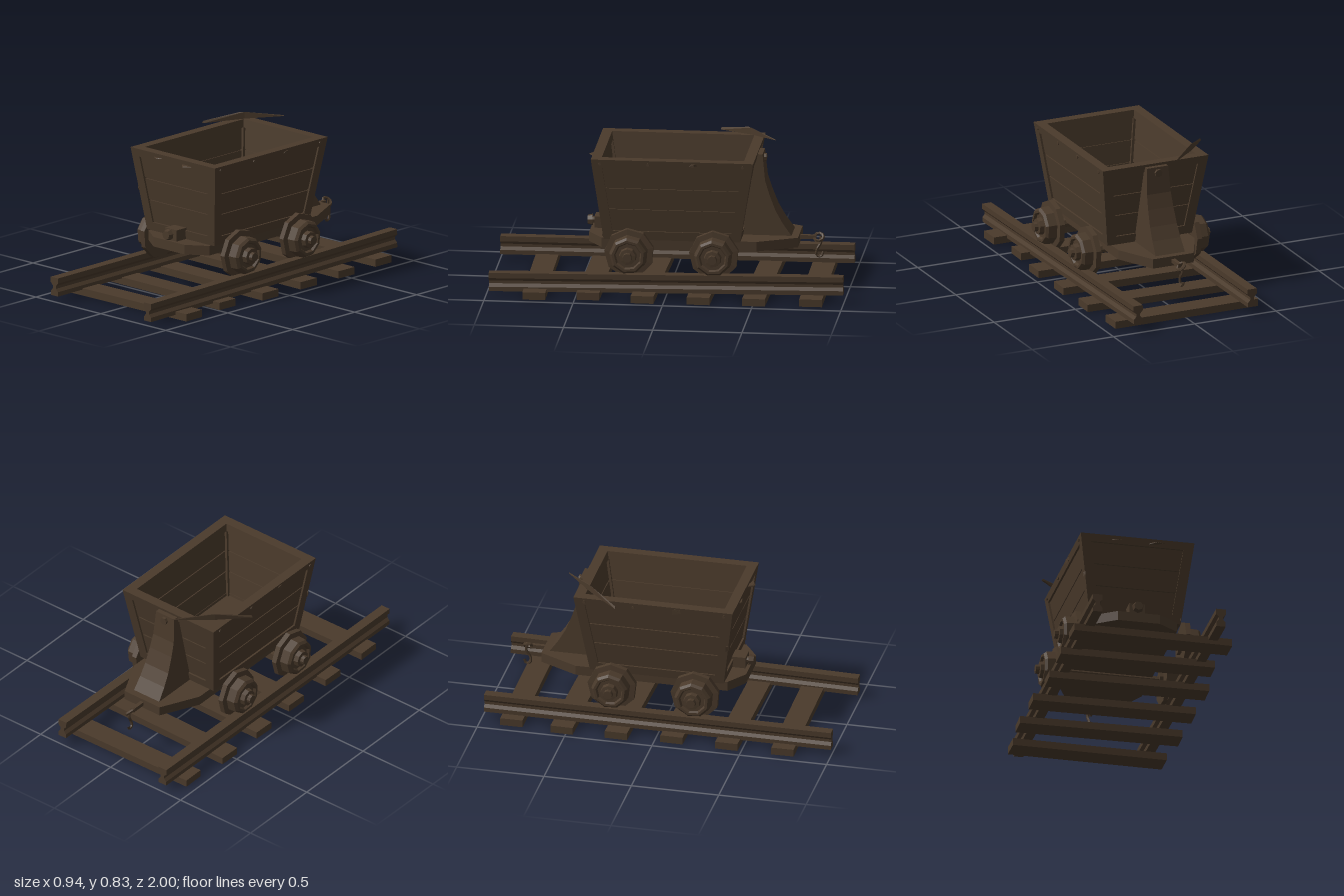
import * as THREE from 'three';
import { ConvexGeometry } from 'three/addons/geometries/ConvexGeometry.js';

const brown = new THREE.MeshStandardMaterial({ color: 0x4a3a2b });
brown.name = 'weathered brown';

const V = (x, y, z) => new THREE.Vector3(x, y, z);
const lerp = THREE.MathUtils.lerp;

function part(parent, name, geometry) {
  const geo = geometry.index ? geometry.toNonIndexed() : geometry;
  geo.computeVertexNormals(); // faceted look
  const mesh = new THREE.Mesh(geo, brown);
  mesh.name = name;
  parent.add(mesh);
  return mesh;
}
const box = (w, h, d, x, y, z) => new THREE.BoxGeometry(w, h, d).translate(x, y, z);

// Outer faces of the tapered tub at height y
const TOP = 0.785, BOTTOM = 0.31;
const tub = (y) => {
  const t = (y - BOTTOM) / (TOP - BOTTOM);
  return { x: lerp(0.26, 0.325, t), front: lerp(0.355, 0.42, t), back: lerp(-0.41, -0.49, t) };
};

// Sloped board on one tub side, between heights y0..y1 and depths d0..d1
function board(side, y0, y1, d0, d1, inset) {
  const pts = [];
  for (const y of [y0, y1]) for (const d of [d0, d1]) for (const e of [0, 1]) {
    const w = tub(y);
    if (side === 'front' || side === 'back') {
      const z = side === 'front' ? w.front - d : w.back + d;
      pts.push(V(lerp(-w.x + inset, w.x - inset, e), y, z));
    } else {
      pts.push(V((side === 'left' ? 1 : -1) * (w.x - d), y, lerp(w.back + inset, w.front - inset, e)));
    }
  }
  return new ConvexGeometry(pts);
}

function buildTub() {
  const g = new THREE.Group();
  g.name = 'tub';
  for (const side of ['front', 'back', 'left', 'right']) {
    part(g, side + 'Rim', board(side, 0.74, TOP, 0, 0.057, 0.05));
    part(g, side + 'Sill', board(side, BOTTOM, 0.36, 0, 0.045, 0.04));
    part(g, side + 'Backing', board(side, 0.35, 0.75, 0.02, 0.036, 0.03));
    for (const [a, b] of [[0.358, 0.487], [0.494, 0.612], [0.619, 0.742]])
      part(g, side + 'Plank', board(side, a, b, 0.011, 0.042, 0.04));
  }
  // Corner posts
  for (const sx of [-1, 1]) for (const end of ['front', 'back']) {
    const pts = [];
    for (const y of [BOTTOM, TOP]) for (const dx of [0, 0.056]) for (const dz of [0, 0.056]) {
      const w = tub(y);
      pts.push(V(sx * (w.x - dx), y, end === 'front' ? w.front - dz : w.back + dz));
    }
    part(g, 'cornerPost', new ConvexGeometry(pts));
  }
  part(g, 'tubFloor', box(0.48, 0.03, 0.72, 0, 0.33, -0.03));
  // Side rivets
  for (const sx of [-1, 1]) for (const z of [-0.43, -0.15, 0.1, 0.37])
    part(g, 'rivet', new THREE.CylinderGeometry(0.009, 0.009, 0.012, 6).rotateZ(Math.PI / 2)
      .translate(sx * tub(0.762).x, 0.762, z));
  return g;
}

function buildChassis() {
  const g = new THREE.Group();
  g.name = 'chassis';
  // Bed with chamfered ends, drawn as (x, -z)
  const bed = new THREE.Shape([[-0.12, -0.45], [0.12, -0.45], [0.235, -0.37], [0.235, 0.5],
    [0.125, 0.72], [-0.125, 0.72], [-0.235, 0.5], [-0.235, -0.37]].map(p => new THREE.Vector2(...p)));
  part(g, 'bed', new THREE.ExtrudeGeometry(bed, { depth: 0.055, bevelEnabled: false })
    .rotateX(-Math.PI / 2).translate(0, 0.255, 0));

  // Curved rear support, drawn as (-z, y) and narrowed toward the top
  const side = new THREE.Shape([[0.4, 0.31], [0.68, 0.31], [0.63, 0.38], [0.59, 0.45], [0.555, 0.54],
    [0.53, 0.62], [0.515, 0.77], [0.48, 0.77]].map(p => new THREE.Vector2(...p)));
  const support = new THREE.ExtrudeGeometry(side, { depth: 0.18, bevelEnabled: false })
    .translate(0, 0, -0.09).rotateY(Math.PI / 2);
  const pos = support.attributes.position;
  for (let i = 0; i < pos.count; i++)
    pos.setX(i, pos.getX(i) * lerp(1, 0.72, (pos.getY(i) - 0.31) / 0.46));
  part(g, 'rearSupport', support);
  part(g, 'supportBolt', new THREE.CylinderGeometry(0.022, 0.022, 0.025, 7)
    .rotateX(Math.PI / 2).translate(0, 0.738, -0.52));

  // Front buffer
  part(g, 'bufferBlock', box(0.09, 0.065, 0.09, -0.005, 0.342, 0.385));
  part(g, 'bufferNeck', new THREE.CylinderGeometry(0.018, 0.018, 0.03, 7)
    .rotateX(Math.PI / 2).translate(-0.005, 0.345, 0.44));
  part(g, 'bufferHead', new THREE.CylinderGeometry(0.026, 0.033, 0.028, 7)
    .rotateX(Math.PI / 2).translate(-0.005, 0.345, 0.457));

  // Rear drawbar, ring and hanging hook
  part(g, 'drawbar', box(0.022, 0.022, 0.1, 0, 0.283, -0.76));
  part(g, 'drawRing', new THREE.TorusGeometry(0.026, 0.009, 5, 9)
    .rotateY(Math.PI / 2).rotateZ(0.8).translate(0, 0.283, -0.823));
  const hook = new THREE.CatmullRomCurve3([V(0, 0.29, -0.835), V(0, 0.25, -0.835), V(0.005, 0.215, -0.815),
    V(0, 0.18, -0.812), V(0, 0.172, -0.835), V(-0.004, 0.2, -0.848)]);
  part(g, 'hook', new THREE.TubeGeometry(hook, 14, 0.008, 5));
  return g;
}

function buildWheels() {
  const g = new THREE.Group();
  g.name = 'wheels';
  // (radius, distance along the axle)
  const profile = [[0, 0.275], [0.05, 0.275], [0.05, 0.295], [0.14, 0.295], [0.14, 0.325], [0.108, 0.328],
    [0.105, 0.378], [0.092, 0.392], [0.078, 0.392], [0.07, 0.378], [0.05, 0.378], [0.046, 0.405],
    [0.027, 0.407], [0.025, 0.428], [0, 0.428]].map(p => new THREE.Vector2(...p));
  for (const z of [0.205, -0.27]) {
    for (const turn of [0, Math.PI]) {
      const wheel = part(g, 'wheel', new THREE.LatheGeometry(profile, 9)
        .rotateZ(-Math.PI / 2).rotateX(z * 3));
      wheel.rotation.y = turn;
      wheel.position.set(0, 0.248, z);
    }
    part(g, 'axle', new THREE.CylinderGeometry(0.028, 0.028, 0.58, 8)
      .rotateZ(Math.PI / 2).translate(0, 0.246, z));
  }
  return g;
}

function buildTrack() {
  const g = new THREE.Group();
  g.name = 'track';
  // Sleepers: centre x, centre z, length, skew
  const sleepers = [[-0.005, -0.82, 0.88, 0.008], [-0.007, -0.515, 0.925, -0.02], [-0.003, -0.205, 0.925, -0.02],
    [0.01, 0.108, 0.91, -0.02], [-0.012, 0.42, 0.88, -0.012], [0.003, 0.73, 0.905, 0.012]];
  for (const [x, z, length, skew] of sleepers) {
    const s = part(g, 'sleeper', box(length, 0.042, 0.128, 0, 0.021, 0));
    s.position.set(x, 0, z);
    s.rotation.y = skew;
  }
  // Rails with head, web and foot, slightly uneven
  const half = [[0.027, 0], [0.027, 0.025], [0.012, 0.042], [0.012, 0.058], [0.028, 0.075], [0.028, 0.105]];
  const outline = [...half, ...half.map(([x, y]) => [-x, y]).reverse()];
  const shape = new THREE.Shape(outline.map(p => new THREE.Vector2(...p)));
  for (const [x, y, tilt, z] of [[-0.36, 0.038, 0.004, 0.005], [0.347, 0.037, 0.017, -0.007]]) {
    const rail = part(g, 'rail', new THREE.ExtrudeGeometry(shape, { depth: 1.985, bevelEnabled: false })
      .translate(0, 0, -0.9925));
    rail.position.set(x, y, z);
    rail.rotation.x = tilt;
  }
  return g;
}

// Bent pick head resting on the rim
function buildPick() {
  const g = new THREE.Group();
  g.name = 'pickHead';
  const mid = [];
  for (const [s, y] of [[-1, 0.795], [1, 0.795], [-1, 0.834], [1, 0.834]])
    mid.push(V(-0.255 + s * 0.009, y, -0.41 - s * 0.008));
  const tip = (x, y, z, h, w) => [V(x - w, y, z), V(x + w, y, z), V(x, y + h, z)];
  part(g, 'pickBlade', new ConvexGeometry([...mid, ...tip(-0.392, 0.779, -0.235, 0.012, 0.008)]));
  part(g, 'pickPoint', new ConvexGeometry([...mid, ...tip(-0.09, 0.81, -0.57, 0.005, 0.003)]));
  return g;
}

// Loose wood splinters: centre, size
function buildSplinters() {
  const g = new THREE.Group();
  g.name = 'splinters';
  for (const [x, y, z, w, h, d] of [[0.105, 0.757, 0.428, 0.1, 0.008, 0.05], [-0.12, 0.76, 0.42, 0.08, 0.006, 0.02],
    [0.322, 0.762, -0.16, 0.015, 0.02, 0.06], [-0.325, 0.76, 0.1, 0.015, 0.03, 0.05],
    [-0.293, 0.548, 0.385, 0.02, 0.03, 0.02], [0.258, 0.337, 0.355, 0.016, 0.03, 0.016]])
    part(g, 'splinter', new ConvexGeometry([V(x - w / 2, y - h / 2, z - d / 2), V(x + w / 2, y + h / 2, z),
      V(x - w / 2, y + h / 2, z - d / 2), V(x, y - h / 4, z + d / 2), V(x, y + h / 2, z + d / 3)]));
  return g;
}

export function createModel() {
  const model = new THREE.Group();
  model.name = 'mineCart';
  model.add(buildTrack(), buildWheels(), buildChassis(), buildTub(), buildPick(), buildSplinters());
  return model;
}
